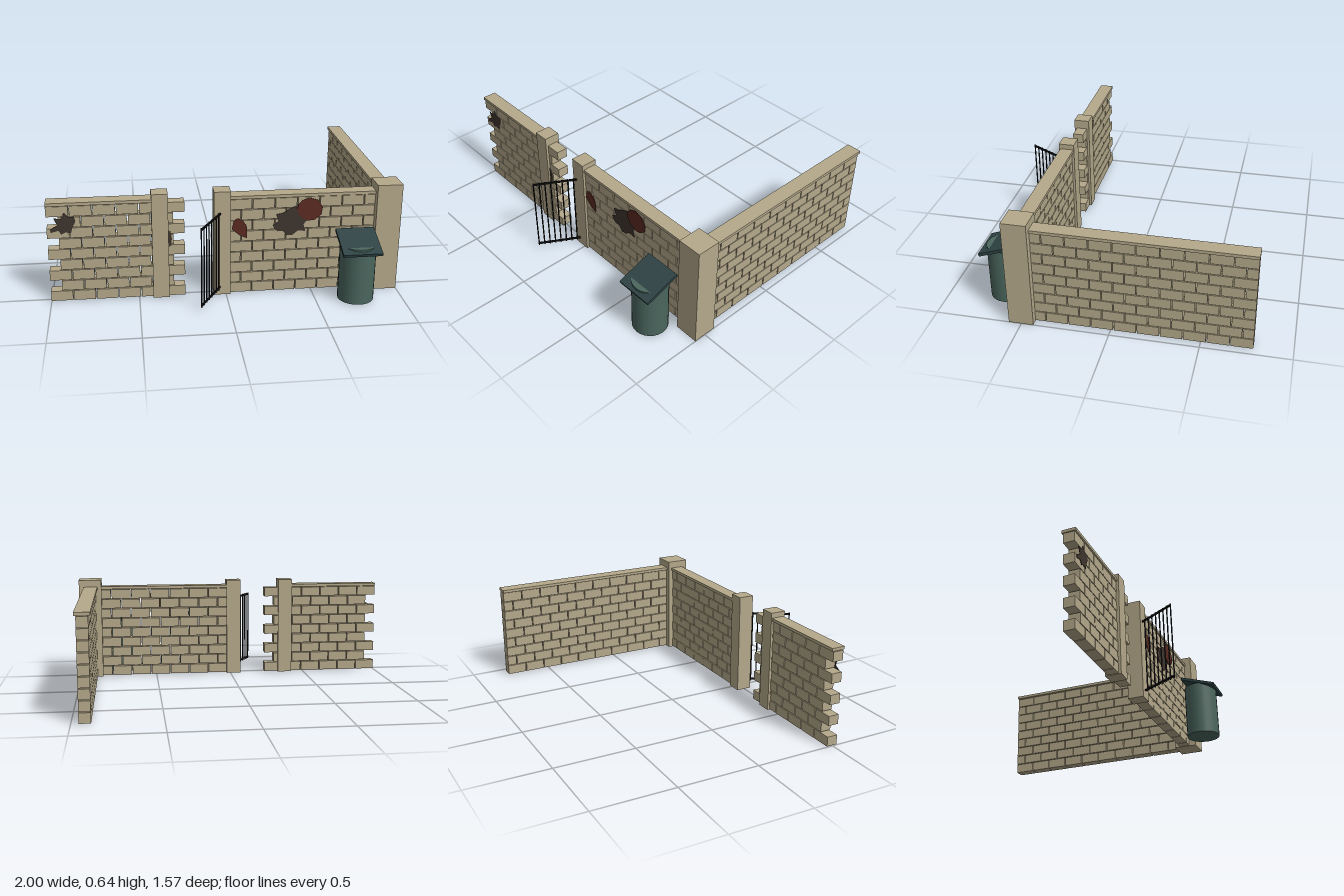
import * as THREE from 'three';
import { mergeGeometries } from 'three/addons/utils/BufferGeometryUtils.js';

const mat = (name, color) => new THREE.MeshStandardMaterial({ name, color });

export function createModel() {
  const model = new THREE.Group();
  model.name = 'brickWallCorner';
  const stone = mat('sandStone', 0xb5a98b);
  const iron = mat('blackIron', 0x111111);
  const binGreen = mat('binGreen', 0x4b665e);
  const lidGreen = mat('lidGreen', 0x2f4344);
  const moss = mat('darkStain', 0x3f352f);
  const rust = mat('rustStain', 0x5a2a22);

  const add = (name, geometry, material) => {
    const mesh = new THREE.Mesh(geometry, material);
    mesh.name = name;
    model.add(mesh);
    return mesh;
  };
  // Box from min / max corners
  const span = (x0, x1, y0, y1, z0, z1) =>
    new THREE.BoxGeometry(x1 - x0, y1 - y0, z1 - z0)
      .translate((x0 + x1) / 2, (y0 + y1) / 2, (z0 + z1) / 2);

  // Nine courses of running-bond bricks along x from 'start' to 'end'.
  // Toothed walls leave out the half bricks at both ends.
  const LENGTH = 0.1285, PITCH = 0.0643, THICK = 0.066, GAP = 0.006;
  function courses(start, end, toothed) {
    const bricks = [];
    for (let row = 0; row < 9; row++) {
      const y = 0.004 + row * PITCH;
      const odd = row % 2 === 1;
      for (let x = odd ? start - LENGTH / 2 : start; x < end - 0.01; x += LENGTH) {
        if (toothed && (x < start - 0.01 || x + LENGTH > end + 0.01)) continue;
        const a = Math.max(x, start), b = Math.min(x + LENGTH - GAP, end);
        if (b - a > 0.01) bricks.push(span(a, b, y, y + PITCH - 0.005, -THICK / 2, THICK / 2));
      }
    }
    return mergeGeometries(bricks);
  }

  // Walls and their coping
  const WALL_Z = 0.495;
  add('rightWallBricks', courses(-1, -0.229, true).translate(0, 0, WALL_Z), stone);
  add('rightWallCoping', span(-1, -0.41, 0.582, 0.6, 0.452, 0.535), stone);
  add('leftWallBricks', courses(0.024, 0.86, false).translate(0, 0, WALL_Z), stone);
  add('leftWallCoping', span(0.02, 0.86, 0.582, 0.6, 0.452, 0.535), stone);
  add('sideWallBricks', courses(-0.435, 0.785, false)
    .scale(-1, 1, -1).rotateY(Math.PI / 2).rotateY(Math.PI)
    .translate(0.925, 0, 0), stone);
  // Lay the side wall so that its whole bricks start at the back end
  const side = model.getObjectByName('sideWallBricks');
  side.geometry = courses(-0.785, 0.435, false).rotateY(-Math.PI / 2).translate(0.925, 0, 0);
  add('sideWallCoping', span(0.881, 0.969, 0.582, 0.6, -0.787, 0.435), stone);

  // Pillars
  add('rightGatePillar', span(-0.42, -0.327, 0, 0.632, 0.448, 0.543), stone);
  add('leftGatePillar', span(-0.07, 0.025, 0, 0.632, 0.448, 0.543), stone);
  add('cornerPillar', span(0.855, 1, 0, 0.645, 0.43, 0.572), stone);

  // Open iron gate: built along x from its hinge, then swung outwards
  const gate = new THREE.Group();
  gate.name = 'gate';
  gate.position.set(-0.036, 0, 0.545);
  gate.rotation.y = -Math.PI * 2 / 3;
  const WIDTH = 0.256;
  for (let i = 0; i < 8; i++) {
    const bar = new THREE.Mesh(new THREE.CylinderGeometry(0.004, 0.004, 0.475, 8), iron);
    bar.name = 'gateBar';
    bar.position.set(0.02 + i * 0.0333, 0.275, 0);
    gate.add(bar);
  }
  for (const y of [0.05, 0.503]) {
    const rail = new THREE.Mesh(new THREE.BoxGeometry(WIDTH, 0.011, 0.008), iron);
    rail.name = 'gateRail';
    rail.position.set(WIDTH / 2, y, 0);
    gate.add(rail);
  }
  model.add(gate);

  // Bin with a sloping square lid; the front of the rim pokes through it
  add('binBody', new THREE.CylinderGeometry(0.103, 0.103, 0.337, 24)
    .translate(0.733, 0.1725, 0.663), binGreen);
  const lid = add('binLid', new THREE.BoxGeometry(0.223, 0.017, 0.225), lidGreen);
  lid.position.set(0.733, 0.351, 0.675);
  lid.rotation.x = 0.33;

  // Stains: thin irregular plates, corners given as x, y pairs
  function stain(name, pts, z, material) {
    const shape = new THREE.Shape(pts.map(([x, y]) => new THREE.Vector2(x, y)));
    const geo = new THREE.ExtrudeGeometry(shape, { depth: 0.003, bevelEnabled: false });
    add(name, geo.translate(0, 0, z), material);
  }
  stain('endStain', [[-0.98, 0.445], [-0.94, 0.468], [-0.957, 0.51], [-0.92, 0.505],
    [-0.898, 0.543], [-0.877, 0.516], [-0.845, 0.516], [-0.84, 0.484], [-0.856, 0.457],
    [-0.866, 0.42], [-0.898, 0.425], [-0.92, 0.414], [-0.936, 0.436], [-0.978, 0.425]], 0.529, moss);
  stain('middleStain', [[0.267, 0.414], [0.3, 0.436], [0.283, 0.479], [0.326, 0.489],
    [0.369, 0.516], [0.401, 0.527], [0.428, 0.489], [0.471, 0.468], [0.46, 0.436],
    [0.444, 0.414], [0.455, 0.372], [0.412, 0.377], [0.38, 0.35], [0.348, 0.35],
    [0.326, 0.377], [0.294, 0.377], [0.273, 0.398]], 0.529, moss);
  stain('gatewayStain', [[-0.37, 0.36], [-0.35, 0.4], [-0.33, 0.415], [-0.315, 0.4],
    [-0.308, 0.36], [-0.313, 0.32], [-0.33, 0.305], [-0.355, 0.32]], 0.529, moss);
  stain('largeRustStain', [[0.401, 0.505], [0.412, 0.54], [0.43, 0.56], [0.47, 0.575],
    [0.524, 0.559], [0.551, 0.516], [0.545, 0.473], [0.508, 0.441], [0.465, 0.436],
    [0.422, 0.463]], 0.533, rust);
  stain('smallRustStain', [[0.032, 0.404], [0.043, 0.452], [0.064, 0.468], [0.096, 0.452],
    [0.118, 0.414], [0.118, 0.345], [0.08, 0.361], [0.048, 0.388]], 0.533, rust);

  return model;
}
